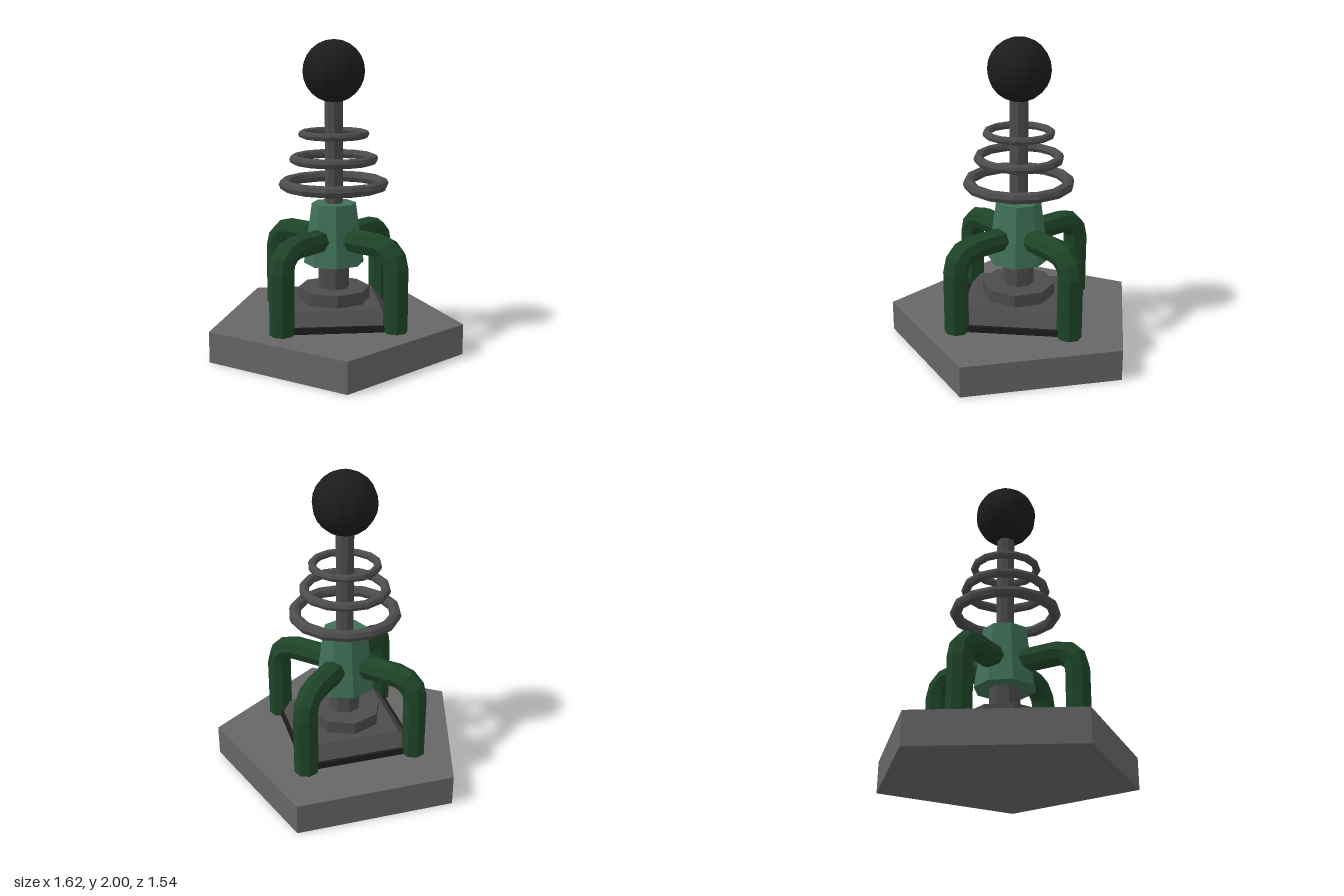
import * as THREE from 'three';

const mat = (color) => new THREE.MeshStandardMaterial({ color, flatShading: true });

// Leg centre line: straight post, quarter bend in three steps, arm to the middle
class LegCurve extends THREE.Curve {
  getUtoTmapping(u) { return u; }
  angle(i) { return THREE.MathUtils.clamp((i - 1) / 3, 0, 1) * Math.PI / 2; }
  getPoint(t) {
    const i = Math.round(t * 5), reach = 0.5, top = 0.73, bend = 0.13;
    if (i === 0) return new THREE.Vector3(reach, 0.19, 0);
    if (i === 5) return new THREE.Vector3(0.1, top, 0);
    const a = this.angle(i);
    return new THREE.Vector3(reach - bend + bend * Math.cos(a), top - bend + bend * Math.sin(a), 0);
  }
  getTangent(t) {
    const a = this.angle(Math.round(t * 5));
    return new THREE.Vector3(-Math.sin(a), Math.cos(a), 0);
  }
}

export function createModel() {
  const model = new THREE.Group();
  model.name = 'lever';
  model.position.z = -0.08;

  const stone = mat(0x666666), metal = mat(0x4c4c4c), black = mat(0x1c1c1c);
  const green = mat(0x3f7058), darkGreen = mat(0x1e4428);

  const add = (name, geometry, material, y = 0) => {
    const mesh = new THREE.Mesh(geometry, material);
    mesh.name = name;
    mesh.position.y = y;
    model.add(mesh);
    return mesh;
  };
  // Prism or frustum between two heights
  const column = (name, rTop, rBottom, y0, y1, sides, material) =>
    add(name, new THREE.CylinderGeometry(rTop, rBottom, y1 - y0, sides), material, (y0 + y1) / 2);

  // Base and stepped mount
  column('base', 0.85, 0.85, 0, 0.2, 5, stone);
  add('gasket', new THREE.BoxGeometry(0.74, 0.05, 0.74), black, 0.215);
  column('mountPlate', 0.28 * Math.SQRT2, 0.35 * Math.SQRT2, 0.24, 0.32, 4, metal).rotation.y = Math.PI / 4;
  column('collar', 0.235, 0.235, 0.32, 0.4, 8, metal);
  column('post', 0.1, 0.1, 0.4, 0.57, 8, metal);

  // Tapered housing, shaft and knob
  column('housing', 0.143, 0.196, 0.565, 0.96, 8, green);
  column('shaft', 0.058, 0.058, 0.95, 1.64, 8, metal);
  add('knob', new THREE.SphereGeometry(0.198, 16, 12), black, 1.802);

  // Floating rings, shrinking upwards
  for (const [radius, tube, y] of [[0.318, 0.037, 1.083], [0.256, 0.03, 1.245], [0.203, 0.025, 1.405]]) {
    add('ring', new THREE.TorusGeometry(radius, tube, 8, 14).rotateX(Math.PI / 2), metal, y);
  }

  // Four bent legs on the diagonals
  const legGeometry = new THREE.TubeGeometry(new LegCurve(), 5, 0.078, 8, false);
  for (let i = 0; i < 4; i++) {
    add('leg', legGeometry, darkGreen).rotation.y = Math.PI / 4 + i * Math.PI / 2;
  }

  const root = new THREE.Group();
  root.add(model);
  return root;
}
